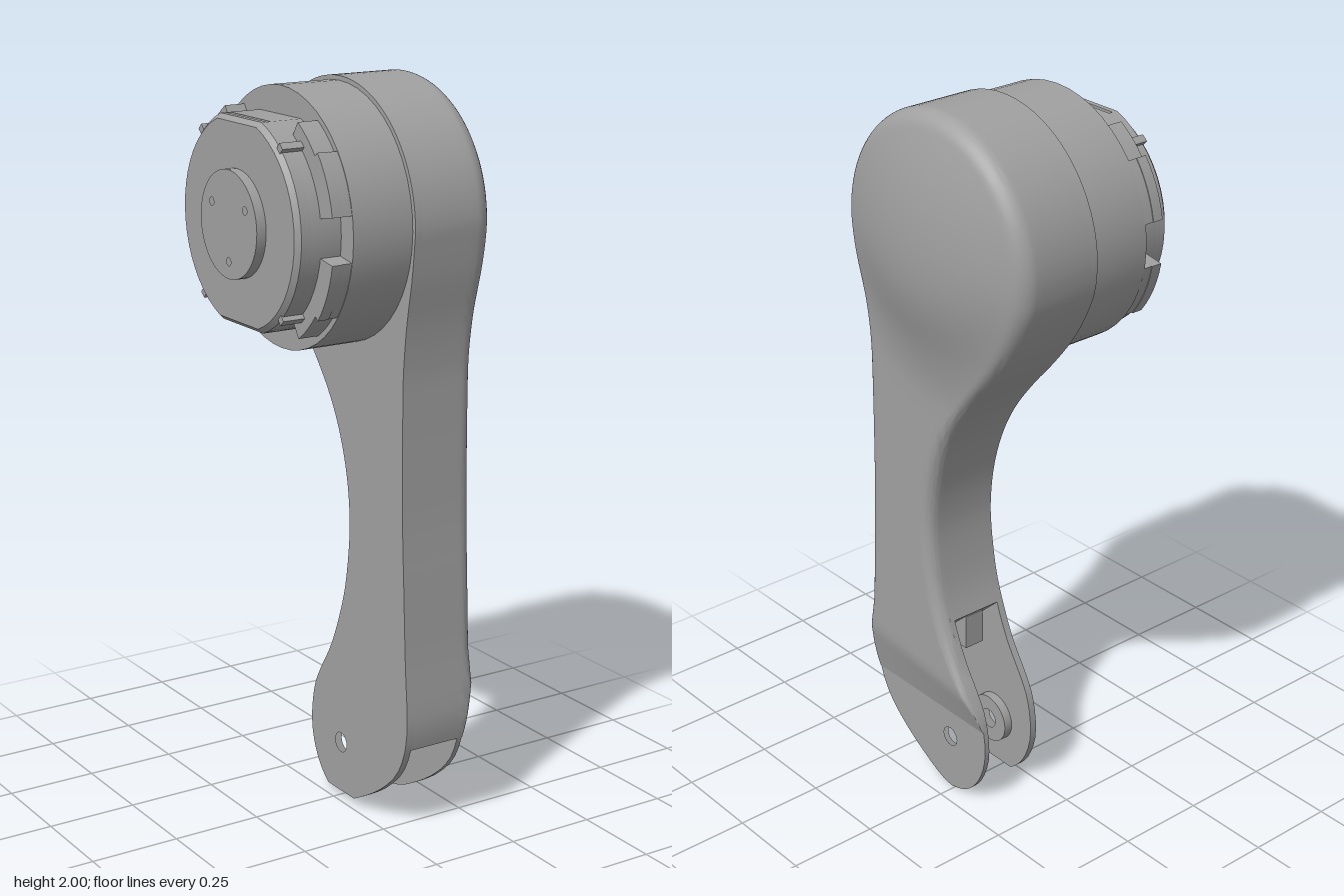
import * as THREE from 'three';
import { toCreasedNormals } from 'three/addons/utils/BufferGeometryUtils.js';

const { clamp, smoothstep } = THREE.MathUtils;
const HEAD = { y: 1.648, r: 0.352 };
const PIN = { z: 0.015, y: 0.165 };

// Front and back edges of the leg as [z, y], bottom to head centre
const FRONT = [[0.01, 0], [0.05, 0.008], [0.1, 0.03], [0.2, 0.09], [0.28, 0.16], [0.32, 0.23], [0.335, 0.3],
  [0.335, 0.37], [0.325, 0.5], [0.315, 0.7], [0.306, 0.9], [0.303, 1.2], [0.306, 1.3], [0.318, 1.41], [0.339, 1.53], [0.352, 1.648]];
const BACK = [[0.01, 0], [-0.05, 0.02], [-0.1, 0.07], [-0.13, 0.14], [-0.135, 0.21], [-0.12, 0.29], [-0.09, 0.35],
  [-0.04, 0.43], [0, 0.52], [0.035, 0.63], [0.055, 0.77], [0.053, 0.87], [0.035, 0.97], [0, 1.07], [-0.05, 1.16],
  [-0.12, 1.25], [-0.2, 1.34], [-0.27, 1.43], [-0.316, 1.51], [-0.344, 1.58], [-0.352, 1.648]];

// Returns z as a function of y along a smooth edge, closing with the head circle
function edge(points, side) {
  const pts = new THREE.SplineCurve(points.map(p => new THREE.Vector2(...p))).getPoints(300);
  return y => {
    if (y >= HEAD.y) return side * Math.sqrt(Math.max(0, HEAD.r ** 2 - (y - HEAD.y) ** 2));
    const i = Math.max(1, pts.findIndex(p => p.y >= y));
    const a = pts[i - 1], b = pts[i];
    return a.x + (b.x - a.x) * clamp((y - a.y) / (b.y - a.y), 0, 1);
  };
}
const frontZ = edge(FRONT, 1), backZ = edge(BACK, -1);

// Heights of the outline rows, denser at both rounded ends
const rows = [];
for (let i = 0; i < 12; i++) rows.push(0.25 * (1 - Math.cos(Math.PI / 2 * i / 12)));
for (let i = 0; i < 56; i++) rows.push(0.25 + (HEAD.y - 0.25) * i / 56);
for (let i = 0; i <= 24; i++) rows.push(HEAD.y + HEAD.r * Math.sin(Math.PI / 2 * i / 24));

// Outline polygon between given lowest points of both edges and a top
function outline(frontMin, backMin, top = 2) {
  const ys = min => [min, ...rows.filter(y => y > min + 0.001 && y < top - 0.0001), ...(top < 2 ? [top] : [])];
  return [...ys(frontMin).map(y => [frontZ(y), y]), ...(top < 2 ? [] : [[0, 2]]),
    ...ys(backMin).reverse().map(y => [backZ(y), y])].filter((p, i, a) => !i || Math.hypot(p[0] - a[i - 1][0], p[1] - a[i - 1][1]) > 1e-5);
}

function arc(r, a0, a1, n, cy = HEAD.y, cz = 0) {
  return Array.from({ length: n + 1 }, (_, i) => {
    const a = a0 + (a1 - a0) * i / n;
    return [cz + r * Math.cos(a), cy + r * Math.sin(a)];
  });
}
const circle = (r, n = 48, cy = HEAD.y, cz = 0) => arc(r, 0, Math.PI * 2 * (1 - 1 / n), n - 1, cy, cz);

export function createModel() {
  const group = new THREE.Group();
  const grey = new THREE.MeshStandardMaterial({ color: 0xa0a0a0 });

  function add(name, geo) {
    const mesh = new THREE.Mesh(toCreasedNormals(geo, 0.5), grey);
    mesh.name = name;
    group.add(mesh);
  }
  // Slab of a [z, y] polygon between two x values; taper shrinks its x0 end
  function slab(name, pts, x0, x1, holes = [], taper = 1) {
    const vec = list => list.map(([z, y]) => new THREE.Vector2(-z, y));
    const shape = new THREE.Shape(vec(pts));
    shape.holes = holes.map(h => new THREE.Path(vec(h)));
    const geo = new THREE.ExtrudeGeometry(shape, { depth: x1 - x0, bevelEnabled: false });
    const p = geo.attributes.position;
    for (let i = 0; i < p.count; i++) {
      if (p.getZ(i) > 1e-6) continue;
      p.setXY(i, p.getX(i) * taper, HEAD.y + (p.getY(i) - HEAD.y) * taper);
    }
    add(name, geo.rotateY(Math.PI / 2).translate(x0, 0, 0));
  }

  // Leg layers: inner plate, core cut away above the fork, outer fork prong
  const pinHole = circle(0.028, 20, PIN.y, PIN.z);
  slab('innerPlate', outline(0.02, 0.02), 0.015, 0.035, [pinHole]);
  slab('legCore', outline(0.25, 0.54), 0.035, 0.185);
  slab('outerProng', outline(0, 0, 0.58).slice(0, -1), 0.185, 0.2, [pinHole]);

  // Outer skin: domed over the head, rounded at the rim, thinning to the fork
  const skinRows = rows.filter(y => y >= 0.2499);
  const cols = 40, pos = [], index = [];
  for (const y of skinRows) {
    const zf = frontZ(y), zb = backZ(y);
    const rim = 0.036 * clamp((y - 0.25) / 0.25, 0.03, 1);
    const neck = smoothstep(HEAD.y - y, 0, 0.3);
    pos.push(0.185, y, zf);
    for (let j = 0; j <= cols; j++) {
      const z = zf + (zb - zf) * (0.5 - 0.5 * Math.cos(Math.PI * j / cols));
      const base = 0.202 + 0.033 * clamp((y - 0.25) / (0.111 + 0.117 * z), 0, 1);
      const d = Math.hypot(z, y - HEAD.y);
      const e = y > HEAD.y ? HEAD.r - d : Math.min(zf - z, z - zb);
      const k = clamp(rim - e, 0, rim);
      // Round cap on the head, easing into the flat leg below it
      const cap = 1 - 0.88 * (d / HEAD.r) ** 2;
      const ease = d < 0.45 ? 0.5 + 0.5 * Math.cos(Math.PI * d / 0.45) : 0;
      const dome = 0.077 * (cap + (ease - cap) * neck);
      pos.push(base + dome - (rim - Math.sqrt(rim * rim - k * k)), y, z);
    }
    pos.push(0.185, y, zb);
  }
  const w = cols + 3;
  for (let i = 0; i < skinRows.length - 1; i++) for (let j = 0; j < w - 1; j++) {
    const a = i * w + j;
    index.push(a, a + 1, a + w, a + 1, a + w + 1, a + w);
  }
  const skin = new THREE.BufferGeometry();
  skin.setAttribute('position', new THREE.Float32BufferAttribute(pos, 3));
  skin.setIndex(index);
  add('outerSkin', skin);

  // Fork bosses and the small stop in the slot
  for (const [x0, x1] of [[0.035, 0.06], [0.16, 0.185]])
    slab('pinBoss', circle(0.07, 32, PIN.y, PIN.z), x0, x1, [pinHole]);
  add('slotStop', new THREE.BoxGeometry(0.06, 0.1, 0.05).translate(0.11, 0.48, 0.04));

  // Motor housing
  slab('motorHousing', circle(0.34), -0.16, 0.015);

  // Drum with flats above and below, open through the middle between two side walls
  const half = Math.acos(0.1 / 0.285);
  const right = arc(0.285, -half, half, 20), left = arc(0.285, Math.PI - half, Math.PI + half, 20);
  const drum = [...right, ...left];
  slab('drumBase', drum, -0.248, -0.16);
  for (const side of [right, left]) slab('drumWall', side, -0.26, -0.248);
  slab('drumPlate', drum, -0.275, -0.26);
  slab('drumBevel', drum, -0.288, -0.275, [], 0.955);

  // Mounting lugs (thick screw boss with a thinner ear) and drum ribs at the four corners
  const deg = Math.PI / 180;
  for (const sz of [1, -1]) for (const sy of [1, -1]) {
    const sector = (r0, r1, a0, a1) => [...arc(r1, a0 * deg, a1 * deg, 6), ...arc(r0, a1 * deg, a0 * deg, 6)]
      .map(([z, y]) => [z * sz, HEAD.y + (y - HEAD.y) * sy]);
    slab('lugBoss', sector(0.27, 0.325, 36, 57), -0.218, -0.16);
    slab('lugEar', sector(0.27, 0.34, 10, 38), -0.218, -0.187);
    slab('lugFoot', sector(0.27, 0.338, 10, 38), -0.187, -0.16);
    slab('drumRib', sector(0.27, 0.298, 46, 50), -0.28, -0.218);
  }

  // Output cap with three screw holes
  const screws = [0, 1, 2].map(i => {
    const a = Math.PI / 6 + i * Math.PI * 2 / 3;
    return circle(0.011, 12, HEAD.y + 0.095 * Math.sin(a), 0.095 * Math.cos(a));
  });
  slab('outputCap', circle(0.14), -0.315, -0.288, screws);

  return group;
}
